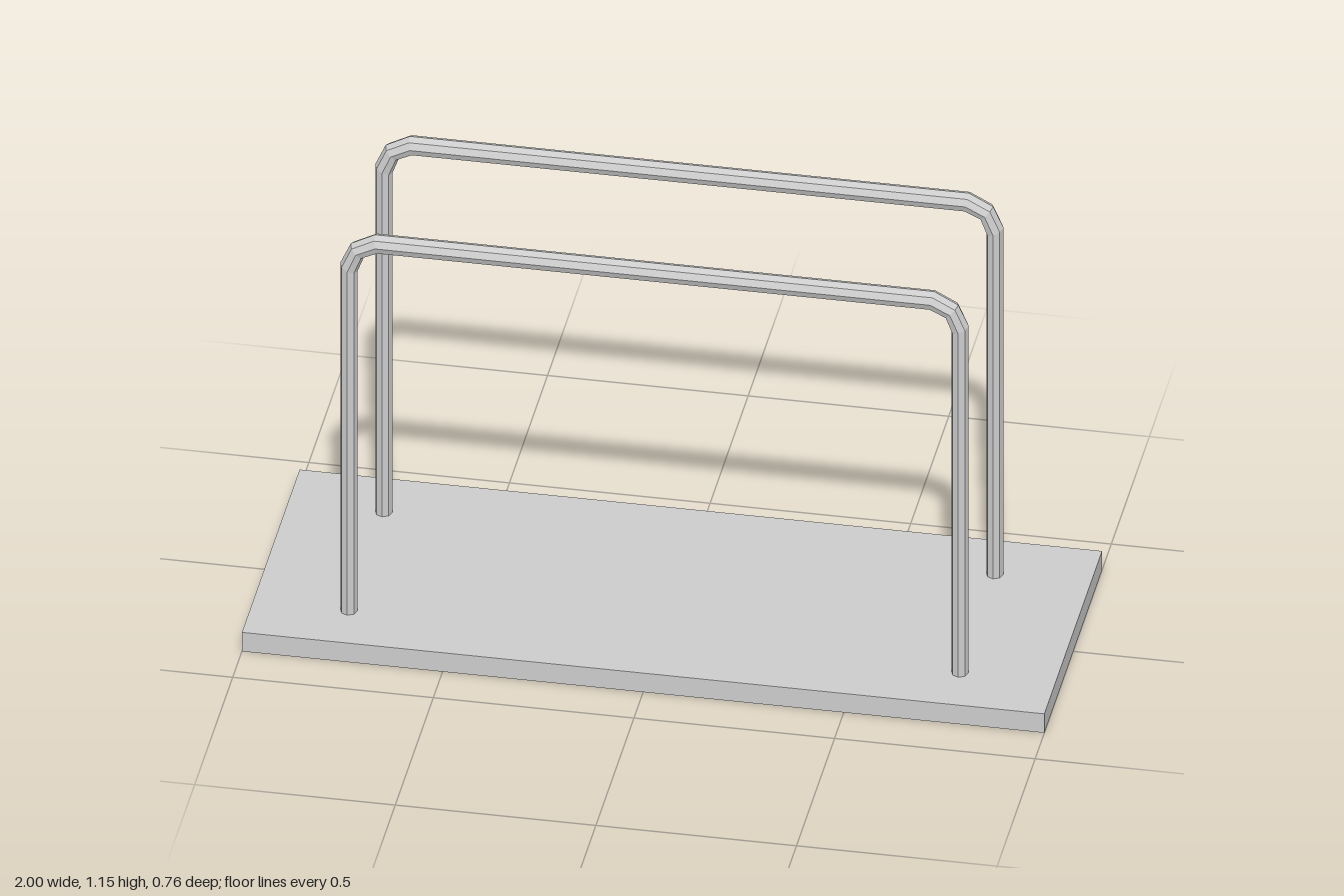
import * as THREE from 'three';

const SIDES = 8;
const TUBE_RADIUS = 0.025;

// Mitred sections of half a rail, from foot to top: [outer x, outer y, inner x, inner y]
const HALF_SECTIONS = [
  [-0.783, 0.04, -0.74, 0.04],
  [-0.783, 1.06, -0.74, 1.04],
  [-0.757, 1.118, -0.724, 1.083],
  [-0.697, 1.15, -0.687, 1.1],
];

// Eight-sided bent tube, swept through the sections and their mirror images
function railGeometry() {
  const mirrored = HALF_SECTIONS.map(([ox, oy, ix, iy]) => [-ox, oy, -ix, iy]).reverse();
  const sections = [...HALF_SECTIONS, ...mirrored];
  const positions = [];
  const indices = [];

  sections.forEach(([ox, oy, ix, iy], i) => {
    for (let j = 0; j < SIDES; j++) {
      const angle = (j / SIDES) * Math.PI * 2;
      const c = Math.cos(angle) / 2;
      positions.push(
        (ox + ix) / 2 + (ox - ix) * c,
        (oy + iy) / 2 + (oy - iy) * c,
        TUBE_RADIUS * Math.sin(angle),
      );
      if (i === sections.length - 1) continue;
      const next = (j + 1) % SIDES;
      const a = i * SIDES + j;
      const b = i * SIDES + next;
      indices.push(a, b, b + SIDES, a, b + SIDES, a + SIDES);
    }
  });

  const geometry = new THREE.BufferGeometry();
  geometry.setAttribute('position', new THREE.Float32BufferAttribute(positions, 3));
  geometry.setIndex(indices);
  geometry.computeVertexNormals();
  return geometry;
}

export function createModel() {
  const model = new THREE.Group();
  model.name = 'railStand';
  const material = new THREE.MeshStandardMaterial({ color: 0xcccccc, flatShading: true });

  // Flat base slab
  const base = new THREE.Mesh(new THREE.BoxGeometry(2, 0.055, 0.758), material);
  base.name = 'base';
  base.position.y = 0.0275;
  model.add(base);

  // Two parallel rails, feet sunk into the slab
  const geometry = railGeometry();
  for (const [name, z] of [['frontRail', 0.229], ['backRail', -0.229]]) {
    const rail = new THREE.Mesh(geometry, material);
    rail.name = name;
    rail.position.z = z;
    model.add(rail);
  }

  return model;
}
